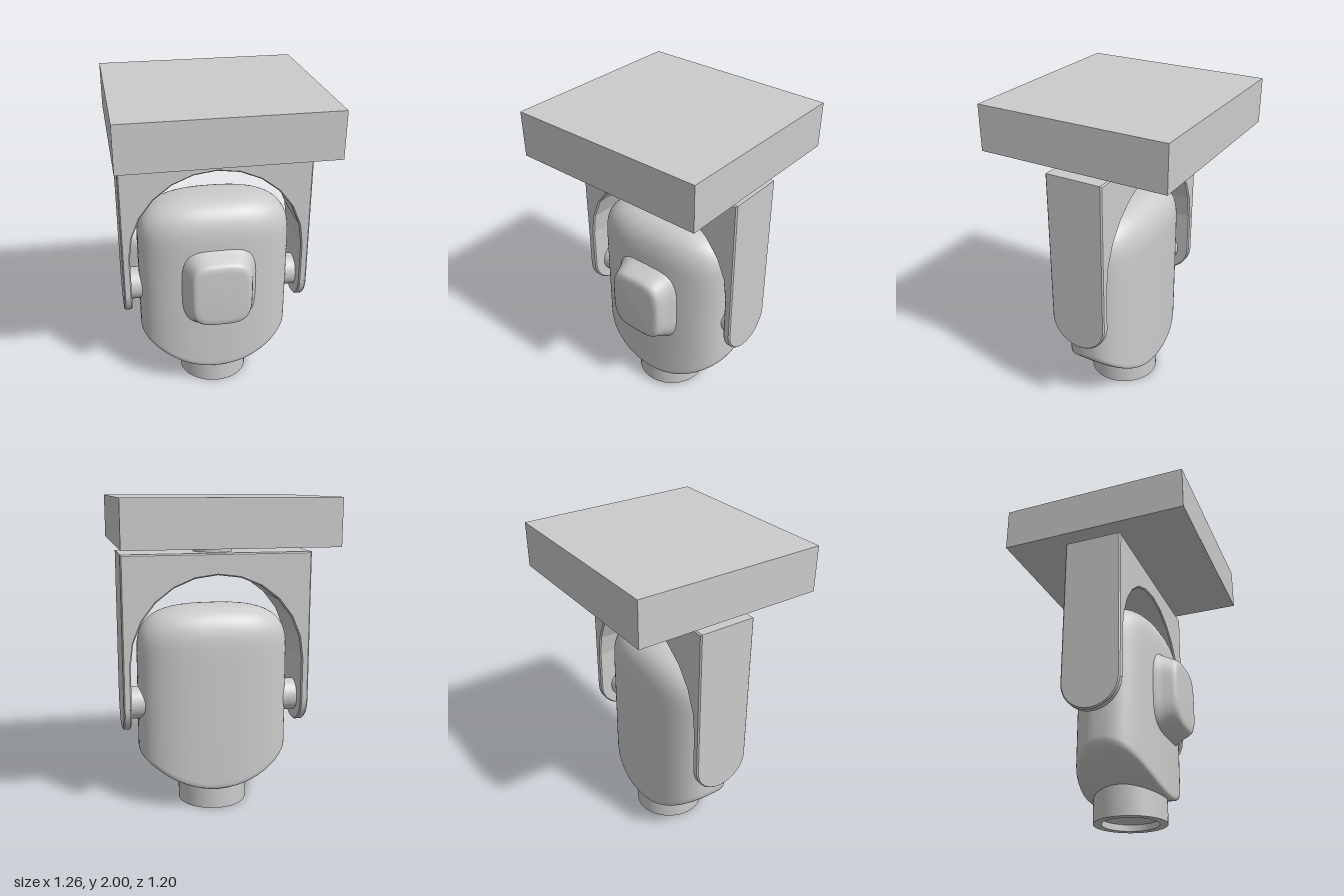
import * as THREE from 'three';
import { toCreasedNormals } from 'three/addons/utils/BufferGeometryUtils.js';

const material = new THREE.MeshStandardMaterial({ color: 0xcccccc });

function add(parent, name, geometry, x = 0, y = 0, z = 0) {
  const mesh = new THREE.Mesh(geometry, material);
  mesh.name = name;
  mesh.position.set(x, y, z);
  parent.add(mesh);
  return mesh;
}

// Point on a superellipse outline
function superPoint(t, a, b, n) {
  const c = Math.cos(t), s = Math.sin(t);
  return [a * Math.sign(c) * Math.abs(c) ** (2 / n), b * Math.sign(s) * Math.abs(s) ** (2 / n)];
}

// Smooth skin over closed rings stacked along +y; point(ring, angle) gives [x, y, z]
function loft(rings, segments, point) {
  const positions = [], index = [];
  rings.forEach((ring, i) => {
    for (let j = 0; j < segments; j++) {
      positions.push(...point(ring, (j / segments) * Math.PI * 2));
      if (i === rings.length - 1) continue;
      const a = i * segments + j, b = i * segments + (j + 1) % segments;
      index.push(a, a + segments, b, b, a + segments, b + segments);
    }
  });
  const geometry = new THREE.BufferGeometry();
  geometry.setAttribute('position', new THREE.Float32BufferAttribute(positions, 3));
  geometry.setIndex(index);
  geometry.computeVertexNormals();
  return geometry;
}

// Extrusion with a small chamfer that stays inside the outline, centred on its depth
function chamfered(shape, depth, bevel, curveSegments) {
  const geometry = new THREE.ExtrudeGeometry(shape, {
    depth: depth - 2 * bevel, bevelThickness: bevel, bevelSize: bevel,
    bevelOffset: -bevel, bevelSegments: 1, curveSegments,
  });
  return geometry.translate(0, 0, bevel - depth / 2);
}

function housingGeometry() {
  const rings = [];
  // Curved underside, then the tight lower edge
  for (const s of [0, 0.2, 0.4, 0.6, 0.8, 0.93]) rings.push({ s, lift: 0 });
  rings.push({ s: 0.975, lift: 0.006 }, { s: 0.995, lift: 0.02 }, { s: 1, lift: 0.04 });
  // Straight walls
  for (const y of [0.45, 0.6, 0.8, 1]) rings.push({ s: 1, y });
  // Domed top
  for (let i = 1; i <= 14; i++) {
    const [s, h] = superPoint((i / 14) * Math.PI / 2, 1, 0.32, 3.1);
    rings.push({ s: i === 14 ? 0 : s, y: 1 + h });
  }
  return loft(rings, 72, ({ s, lift, y }, t) => {
    const [x, z] = superPoint(t, 0.49 * s, 0.255 * s, 2.5);
    return [x, y ?? 0.14 + 0.21 * (x / 0.49) ** 2 + lift, z + 0.02];
  });
}

function frontBossGeometry() {
  // half width, half height, depth
  const rings = [
    [0.25, 0.285, 0.22], [0.236, 0.272, 0.265], [0.222, 0.26, 0.285], [0.208, 0.242, 0.32],
    [0.196, 0.224, 0.36], [0.188, 0.212, 0.38], [0.174, 0.197, 0.39], [0.15, 0.17, 0.393], [0, 0, 0.395],
  ];
  return loft(rings, 56, ([a, b, d], t) => {
    const [x, z] = superPoint(t, a, b, 3.6);
    return [x, d, z];
  }).rotateX(Math.PI / 2);
}

function archShape() {
  const shape = new THREE.Shape();
  shape.moveTo(-0.6, 0.69);
  shape.lineTo(-0.55, 0.69);
  shape.lineTo(-0.55, 0.975);
  shape.absarc(0, 0.975, 0.55, Math.PI, 0, true);
  shape.lineTo(0.55, 0.69);
  shape.lineTo(0.6, 0.69);
  shape.lineTo(0.6, 1.66);
  shape.lineTo(-0.6, 1.66);
  shape.closePath();
  return shape;
}

function armEndShape() {
  const shape = new THREE.Shape();
  shape.moveTo(0.185, 0.72);
  shape.lineTo(-0.185, 0.72);
  shape.lineTo(-0.185, 0.705);
  shape.absarc(0, 0.705, 0.185, Math.PI, Math.PI * 2, false);
  shape.closePath();
  return shape;
}

export function createModel() {
  const model = new THREE.Group();
  model.name = 'ceilingCamera';

  // Ceiling mount
  add(model, 'mountingPlate', new THREE.BoxGeometry(1.26, 0.28, 1.2), 0, 1.86, 0);
  add(model, 'swivelNeck', new THREE.CylinderGeometry(0.125, 0.125, 0.08, 40), 0, 1.69, 0);

  // Yoke: arched bracket with rounded arm ends and pivots
  const yoke = new THREE.Group();
  yoke.name = 'yoke';
  model.add(yoke);
  add(yoke, 'yokeArch', chamfered(archShape(), 0.37, 0.008, 6));
  const armEnd = toCreasedNormals(chamfered(armEndShape(), 0.05, 0.008, 12).rotateY(Math.PI / 2), 0.5);
  const pivot = new THREE.CylinderGeometry(0.105, 0.105, 0.14, 32).rotateZ(Math.PI / 2);
  for (const [side, sign] of [['left', 1], ['right', -1]]) {
    add(yoke, side + 'ArmEnd', armEnd, sign * 0.575, 0, 0);
    add(yoke, side + 'Pivot', pivot, sign * 0.49, 0.692, 0);
  }

  // Camera head
  const head = new THREE.Group();
  head.name = 'head';
  model.add(head);
  add(head, 'housing', housingGeometry());
  add(head, 'frontBoss', frontBossGeometry(), 0, 0.765, 0);

  // Lens barrel, open at the bottom with a recessed glass
  const barrel = [[0, 0.04], [0.175, 0.04], [0.175, 0], [0.225, 0], [0.225, 0.25]]
    .map(([r, y]) => new THREE.Vector2(r, y));
  add(head, 'lensBarrel', toCreasedNormals(new THREE.LatheGeometry(barrel, 48), 0.6), 0, 0, 0.02);

  return model;
}
